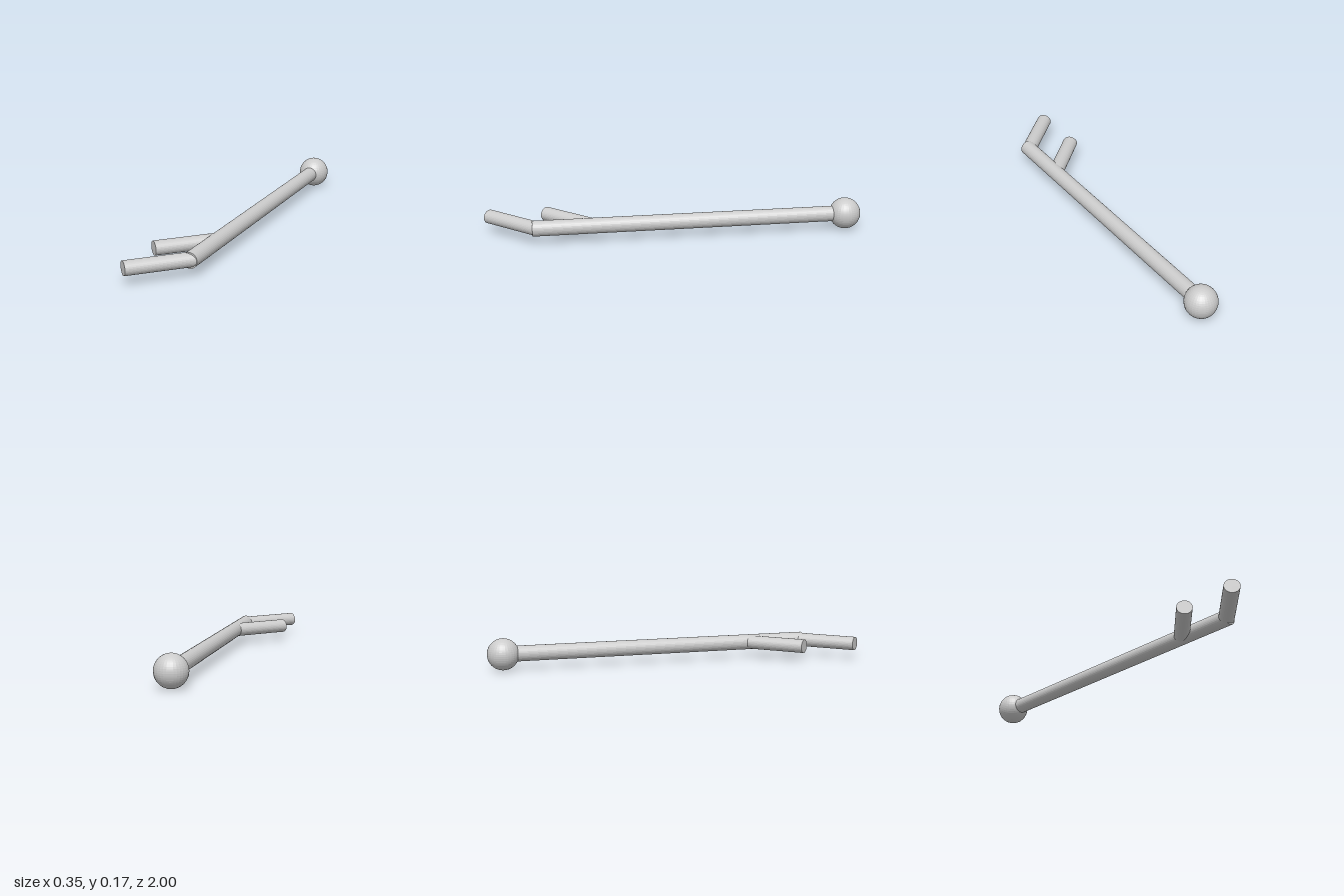
import * as THREE from 'three';

const AXIS_X = 0.09, AXIS_Y = 0.085;

export function createModel() {
  const model = new THREE.Group();
  const material = new THREE.MeshStandardMaterial({ color: 0xcccccc, flatShading: true });

  function add(name, geometry, x, y, z) {
    const mesh = new THREE.Mesh(geometry, material);
    mesh.name = name;
    mesh.position.set(x, y, z);
    model.add(mesh);
    return mesh;
  }

  // round knob at the back end
  add('knob', new THREE.SphereGeometry(0.083, 32, 24), AXIS_X, AXIS_Y, -0.917);

  // long straight shaft, running from inside the knob to the front
  const back = -0.917, front = 0.754;
  const shaft = new THREE.CylinderGeometry(0.041, 0.041, front - back, 32).rotateX(Math.PI / 2);
  add('shaft', shaft, AXIS_X, AXIS_Y, (front + back) / 2);

  // two parallel prongs, slightly flattened, angled 45 degrees to the side
  const innerX = 0.1, outerX = -0.146;
  const reach = innerX - outerX;
  [['frontProng', 0.9715], ['rearProng', 0.67]].forEach(([name, tipZ]) => {
    const prong = new THREE.CylinderGeometry(0.0405, 0.0405, reach * Math.SQRT2, 32)
      .rotateX(Math.PI / 2)
      .scale(1, 0.9, 1)
      .rotateY(-Math.PI / 4);
    add(name, prong, (innerX + outerX) / 2, AXIS_Y, tipZ - reach / 2);
  });

  return model;
}
